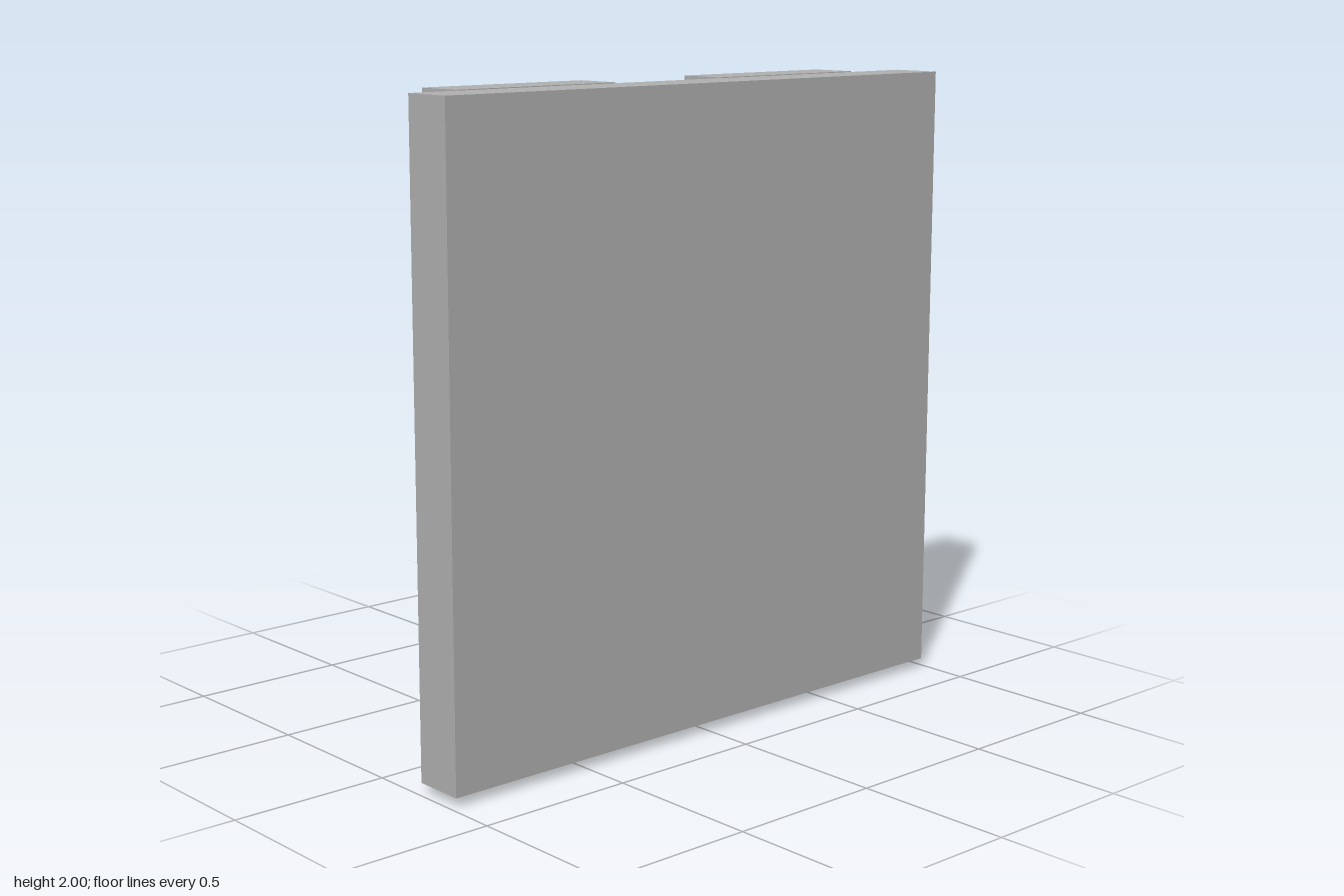
import * as THREE from 'three';

export function createModel() {
  const group = new THREE.Group();
  const grey = new THREE.MeshStandardMaterial({ color: 0xb0b0b0 });
  grey.name = 'grey';

  function add(name, geometry) {
    const mesh = new THREE.Mesh(geometry, grey);
    mesh.name = name;
    group.add(mesh);
  }

  // Box given by its limits on each axis
  function box(name, x0, x1, y0, y1, z0, z1) {
    const g = new THREE.BoxGeometry(x1 - x0, y1 - y0, z1 - z0);
    g.translate((x0 + x1) / 2, (y0 + y1) / 2, (z0 + z1) / 2);
    add(name, g);
  }

  // Flat-sided slab from an outline, between two depths
  function slab(name, points, z0, z1) {
    const shape = new THREE.Shape(points.map(([x, y]) => new THREE.Vector2(x, y)));
    const g = new THREE.ExtrudeGeometry(shape, { depth: z1 - z0, bevelEnabled: false });
    g.translate(0, 0, z0);
    add(name, g);
  }

  // Front panel with a thinner backing plate and its bottom lip
  box('panel', -0.985, 0.985, 0.03, 2, 0.175, 0.34);
  box('backingPlate', -0.9, 0.9, 0.115, 1.915, 0.14, 0.175);
  box('bottomLip', -0.9, 0.9, 0.115, 0.155, 0.13, 0.14);

  // Two stepped square buttons
  for (const [side, s] of [['left', 1], ['right', -1]]) {
    const cx = 0.505 * s;
    [
      ['ButtonBase', 0.295, -0.015, 0.14],
      ['ButtonStep', 0.245, -0.06, -0.015],
      ['ButtonCap', 0.225, -0.105, -0.06],
    ].forEach(([part, h, z0, z1]) =>
      box(side + part, cx - h, cx + h, 1.705 - h, 1.705 + h, z0, z1));
  }

  // Stepped octagonal dial
  const dialY = 0.675;
  [
    ['dialBase', 0.675, 0.018, 0.14],
    ['dialBody', 0.575, -0.213, 0.018],
    ['dialFace', 0.505, -0.277, -0.213],
  ].forEach(([name, apothem, z0, z1]) => {
    const r = apothem / Math.cos(Math.PI / 8);
    const points = [];
    for (let i = 0; i < 8; i++) {
      const a = (i + 0.5) * Math.PI / 4;
      points.push([r * Math.cos(a), dialY + r * Math.sin(a)]);
    }
    slab(name, points, z0, z1);
  });

  // Raised diagonal arrow on the dial
  slab('dialArrow', [
    [0.355, 1.03], [-0.013, 0.945], [0.083, 0.852], [-0.195, 0.577],
    [-0.1, 0.483], [0.178, 0.757], [0.27, 0.663],
  ], -0.34, -0.277);

  return group;
}
